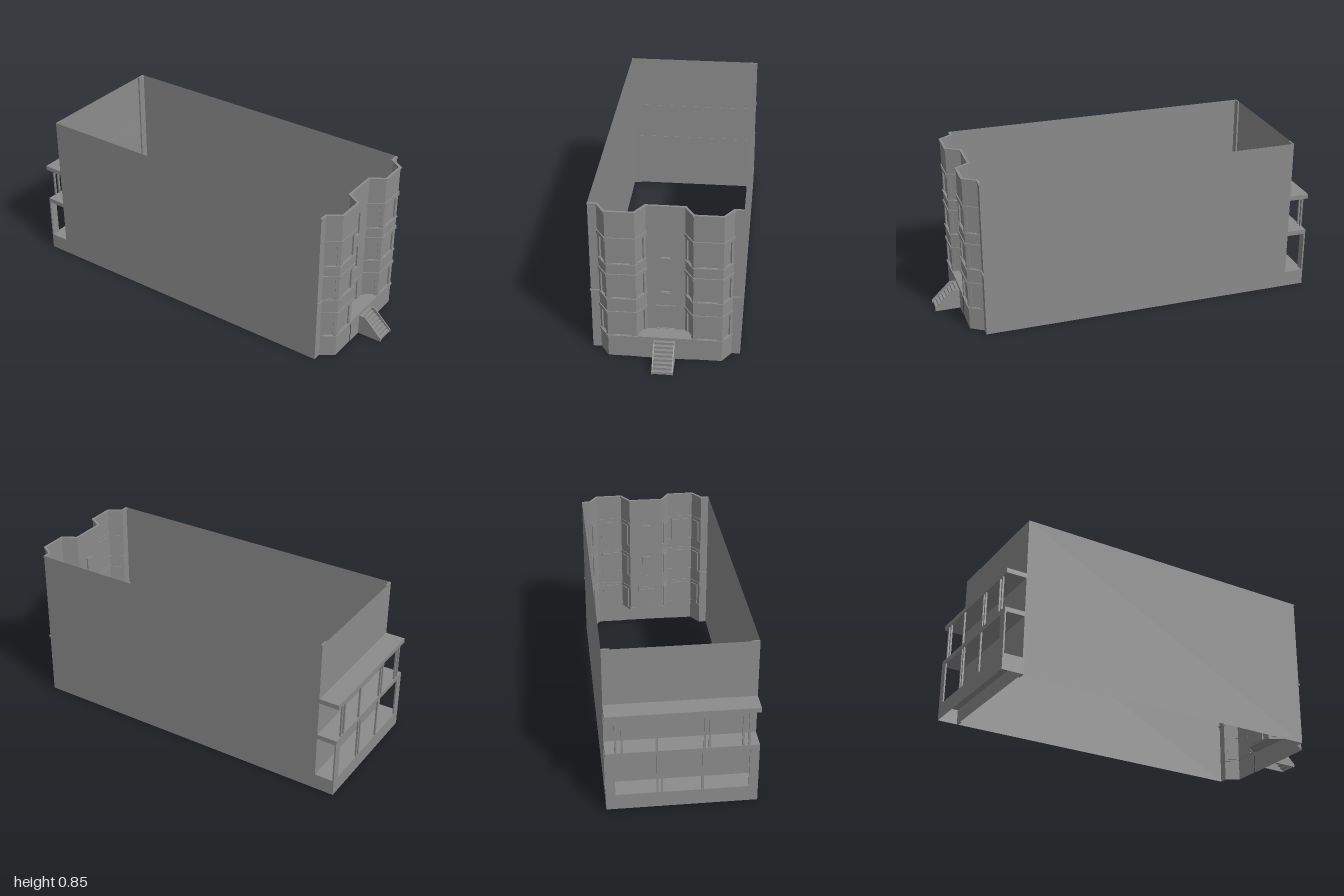
import * as THREE from 'three';

const stone = new THREE.MeshStandardMaterial({ color: 0x8c8c8c, side: THREE.DoubleSide });
stone.name = 'grey stone';

function add(parent, geometry, name) {
  const mesh = new THREE.Mesh(geometry, stone);
  mesh.name = name;
  parent.add(mesh);
  return mesh;
}

// Box given by its limits on each axis
function block(parent, name, x0, x1, y0, y1, z0, z1) {
  const mesh = add(parent, new THREE.BoxGeometry(x1 - x0, y1 - y0, z1 - z0), name);
  mesh.position.set((x0 + x1) / 2, (y0 + y1) / 2, (z0 + z1) / 2);
  return mesh;
}

function rectPath(Type, x0, x1, y0, y1) {
  const p = new Type();
  p.moveTo(x0, y0).lineTo(x1, y0).lineTo(x1, y1).lineTo(x0, y1).closePath();
  return p;
}

// Upright sheet between two plan points, with recessed panels [x0, x1, y0, y1]
function wall(parent, name, p, q, y0, y1, openings = []) {
  const dx = q[0] - p[0], dz = q[1] - p[1];
  const group = new THREE.Group();
  group.name = name;
  group.position.set(p[0], 0, p[1]);
  group.rotation.y = Math.atan2(-dz, dx);
  const shape = rectPath(THREE.Shape, 0, Math.hypot(dx, dz), y0, y1);
  const depth = 0.008;
  for (const [a, b, c, d] of openings) {
    shape.holes.push(rectPath(THREE.Path, a, b, c, d));
    const recess = new THREE.BoxGeometry(b - a, d - c, depth);
    const index = Array.from(recess.index.array);
    index.splice(24, 6); // leave the outer side open
    recess.setIndex(index);
    recess.clearGroups();
    add(group, recess, 'windowRecess').position.set((a + b) / 2, (c + d) / 2, -depth / 2);
  }
  add(group, new THREE.ShapeGeometry(shape), name + 'Sheet');
  parent.add(group);
}

// Mitred parallel of a plan path
function offset(path, dist) {
  const normals = path.slice(1).map((q, i) => {
    const dx = q[0] - path[i][0], dz = q[1] - path[i][1], l = Math.hypot(dx, dz);
    return [-dz / l, dx / l];
  });
  return path.map((p, i) => {
    const a = normals[Math.max(i - 1, 0)], b = normals[Math.min(i, normals.length - 1)];
    const k = dist / (1 + a[0] * b[0] + a[1] * b[1]);
    return [p[0] + (a[0] + b[0]) * k, p[1] + (a[1] + b[1]) * k];
  });
}

// Horizontal slab from a plan outline
function planSlab(parent, name, outline, y, height) {
  const shape = new THREE.Shape(outline.map(([x, z]) => new THREE.Vector2(x, -z)));
  const geometry = new THREE.ExtrudeGeometry(shape, { depth: height, bevelEnabled: false });
  geometry.rotateX(-Math.PI / 2);
  add(parent, geometry, name).position.y = y;
}

function band(parent, name, path, y0, y1, out = 0.005, inn = 0.003) {
  planSlab(parent, name, [...offset(path, out), ...offset(path, -inn).reverse()], y0, y1 - y0);
}

export function createModel() {
  const model = new THREE.Group();
  model.name = 'townhouse';
  const W = 0.373, H = 0.845, porchY = 0.125, backZ = -0.894;

  // Side walls and back wall
  for (const s of [-1, 1]) {
    wall(model, 'sideWall', [s * W, backZ], [s * W, 0.795], 0, H);
    const x = s * 0.352;
    block(model, 'backCornerPier', x - 0.021, x + 0.021, 0, H, backZ, -0.885);
  }
  wall(model, 'backWall', [W, backZ], [-W, backZ], 0, H);

  // Front facade: two canted bays either side of the entrance
  const half = [[W, 0.795], [0.33, 0.795], [0.284, 0.863], [0.14, 0.863], [0.095, 0.79]];
  const left = half.map(([x, z]) => [-x, z]);
  const plan = [...left, ...half.slice().reverse()];
  const floors = [[0.126, 0.255], [0.351, 0.475], [0.552, 0.68]];
  for (let i = 0; i < plan.length - 1; i++) {
    const p = plan[i], q = plan[i + 1];
    const len = Math.hypot(q[0] - p[0], q[1] - p[1]);
    const k = Math.min(i, 8 - i);
    let openings = [];
    if (k === 1 || k === 3) openings = floors.map((f) => [len * 0.22, len * 0.78, ...f]);
    if (k === 2) openings = floors.map((f) => [len / 2 - 0.048, len / 2 + 0.048, ...f]);
    if (k === 4) {
      openings = floors.map((f) => [len / 2 - 0.024, len / 2 + 0.023, ...f]);
      openings[0] = [len / 2 - 0.047, len / 2 + 0.046, 0.127, 0.255];
    }
    const name = ['cornerStrip', 'bayOuterCant', 'bayFront', 'bayInnerCant', 'entranceWall'][k];
    wall(model, name, p, q, k >= 3 ? porchY : 0, H, openings);
  }

  // Sills, lintels, string course and cornice
  const bays = [plan.slice(1, 5), plan.slice(5, 9)];
  const levels = [[0.114, 0.125], [0.255, 0.272], [0.34, 0.35], [0.475, 0.493], [0.545, 0.551], [0.68, 0.7]];
  for (const bay of bays) for (const [y0, y1] of levels) band(model, 'bayBand', bay, y0, y1);
  for (const s of [-1, 1]) {
    const x = s * 0.3535;
    block(model, 'stringCourseEnd', x - 0.0225, x + 0.0225, 0.34, 0.35, 0.788, 0.802);
  }
  band(model, 'cornice', plan, 0.835, H, 0.005, 0.008);
  block(model, 'doorLintel', -0.048, 0.046, 0.255, 0.272, 0.786, 0.796);
  for (const y of [0.34, 0.544]) block(model, 'windowSill', -0.025, 0.024, y, y + 0.008, 0.786, 0.796);

  // Porch
  planSlab(model, 'porchDeck', [[-0.095, 0.787], [-0.14, 0.866], [0.14, 0.866], [0.095, 0.787]], 0.119, 0.007);
  wall(model, 'porchFront', [-0.14, 0.866], [0.14, 0.866], 0, porchY);

  // Front steps: thin treads and risers between two cheeks
  const stairs = new THREE.Group();
  stairs.name = 'frontSteps';
  model.add(stairs);
  const count = 8, rise = 0.11 / count, run = 0.128 / count;
  for (let i = 0; i < count; i++) {
    const z = 0.995 - i * run, y = (i + 1) * rise;
    block(stairs, 'riser', -0.048, 0.046, y - rise, y, z - 0.002, z);
    block(stairs, 'tread', -0.048, 0.046, y - 0.002, y, z - run, z);
  }
  const cheek = new THREE.Shape([[-1, 0], [-1, 0.016], [-0.9, 0.112], [-0.866, 0.112], [-0.866, 0]]
    .map(([x, y]) => new THREE.Vector2(x, y)));
  for (const x of [-0.054, 0.046]) {
    const geometry = new THREE.ExtrudeGeometry(cheek, { depth: 0.006, bevelEnabled: false });
    geometry.rotateY(Math.PI / 2);
    add(stairs, geometry, 'stepCheek').position.x = x;
  }

  // Rear gallery: base, framed lower storey, upper storey on slim posts
  const gallery = new THREE.Group();
  gallery.name = 'rearGallery';
  model.add(gallery);
  wall(gallery, 'galleryBase', [W, -1], [-W, -1], 0, 0.085);
  for (const s of [-1, 1]) wall(gallery, 'galleryBaseEnd', [s * W, -1], [s * W, backZ], 0, 0.085);
  block(gallery, 'galleryFloor', -W, W, 0.08, 0.085, -1, backZ);
  block(gallery, 'middleDeck', -W, W, 0.305, 0.33, -1, -0.892);
  block(gallery, 'upperRoofDeck', -W, W, 0.516, 0.541, -1, -0.892);
  for (const s of [-1, 1]) {
    const x = s * 0.35;
    block(gallery, 'cornerPost', x - 0.023, x + 0.023, 0.085, 0.305, -1, -0.992);
  }
  for (const x of [0.122, 0.1, -0.1]) {
    block(gallery, 'lowerPost', x - 0.005, x + 0.005, 0.085, 0.305, -1, -0.991);
  }
  for (const x of [0.322, 0.292, 0.125, -0.106, -0.13, -0.292, -0.322]) {
    block(gallery, 'upperPost', x - 0.005, x + 0.005, 0.33, 0.516, -0.999, -0.99);
  }
  return model;
}
